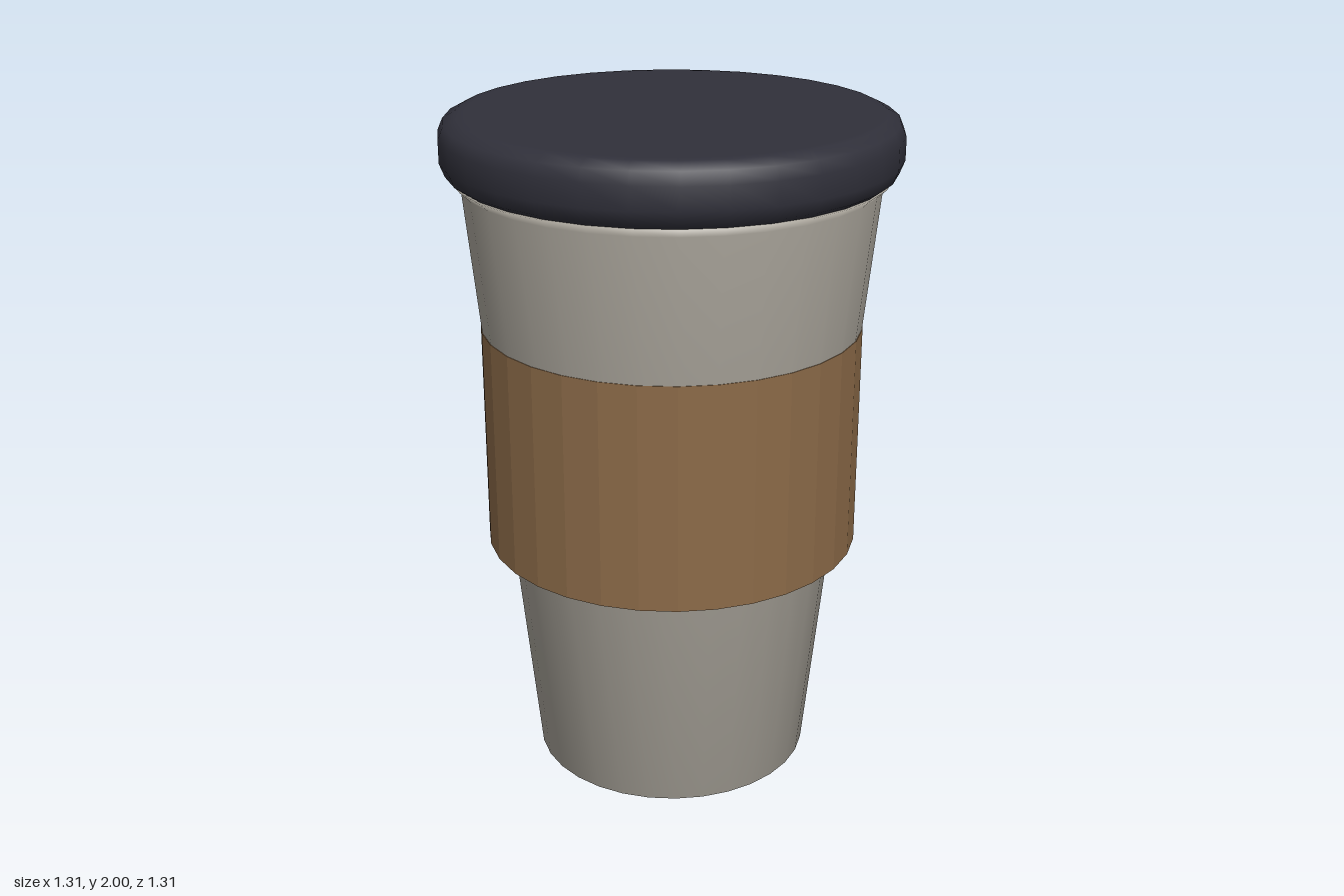
import * as THREE from 'three';

const SIDES = 32;

const material = (name, color, flatShading = false) => {
  const m = new THREE.MeshStandardMaterial({ color, flatShading });
  m.name = name;
  return m;
};

// Round part turned from a bottom-to-top profile of [radius, height] pairs
function turned(name, profile, mat) {
  const points = profile.map(([r, y]) => new THREE.Vector2(r, y));
  const mesh = new THREE.Mesh(new THREE.LatheGeometry(points, SIDES), mat);
  mesh.name = name;
  return mesh;
}

export function createModel() {
  const group = new THREE.Group();
  group.name = 'travelCup';

  const cupGrey = material('warmGrey', 0xaea99f);
  const sleeveBrown = material('cardboardBrown', 0x8b6a48, true);
  const lidDark = material('darkLid', 0x30303a);

  // Tapered cup with a small flared rim
  group.add(turned('cup', [
    [0, 0], [0.417, 0], [0.598, 1.8], [0.625, 1.825], [0.58, 1.84],
  ], cupGrey));

  // Straight faceted sleeve around the middle
  const sleeve = new THREE.Mesh(
    new THREE.CylinderGeometry(0.558, 0.558, 0.67, SIDES), sleeveBrown);
  sleeve.name = 'sleeve';
  sleeve.position.y = 1.048;
  group.add(sleeve);

  // Flat lid with a rounded edge
  group.add(turned('lid', [
    [0, 1.822], [0.59, 1.822], [0.615, 1.824], [0.64, 1.842], [0.655, 1.88],
    [0.655, 1.945], [0.64, 1.98], [0.605, 1.998], [0.58, 2], [0, 2],
  ], lidDark));

  return group;
}
